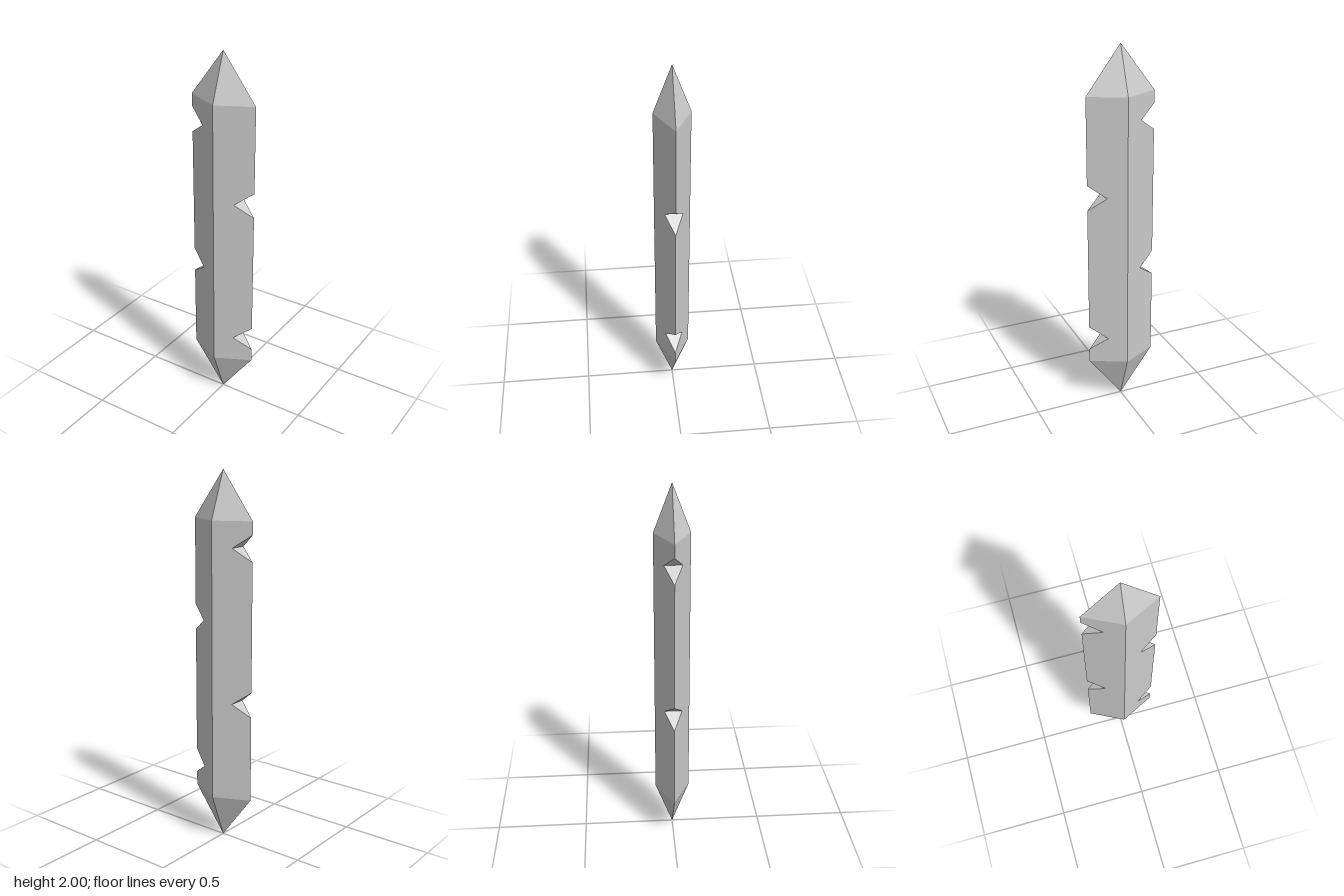
import * as THREE from 'three';

const W = 0.188, D = 0.094;          // half width and half depth of the diamond section
const LOW = 0.252, HIGH = 1.75;      // ends of the straight shaft
const NOTCH_X = 0.094, NOTCH_H = 0.069;
const NOTCHES = { '1': [0.397, 1.219], '-1': [0.791, 1.614] }; // notch heights per edge

const material = new THREE.MeshStandardMaterial({ color: 0xcccccc, flatShading: true });
const depthAt = (x) => D * (1 - Math.abs(x) / W);

function add(group, geometry, name) {
  const mesh = new THREE.Mesh(geometry, material);
  mesh.name = name;
  group.add(mesh);
  return mesh;
}

// One of the four slanted shaft faces, with notches cut from its outer edge
function shaftFace(sx, sz) {
  const outline = [[0, LOW], [W, LOW]];
  for (const y of NOTCHES[sx]) outline.push([W, y - NOTCH_H], [NOTCH_X, y], [W, y + NOTCH_H]);
  outline.push([W, HIGH], [0, HIGH]);
  const geometry = new THREE.ShapeGeometry(new THREE.Shape(outline.map(([x, y]) => new THREE.Vector2(x, y))));
  const p = geometry.attributes.position;
  for (let i = 0; i < p.count; i++) p.setXYZ(i, sx * p.getX(i), p.getY(i), sz * depthAt(p.getX(i)));
  if (sx * sz < 0) geometry.index.array.reverse();
  geometry.computeVertexNormals();
  return geometry;
}

// The upper and lower cut surfaces of one notch
function notchFaces(sx, y) {
  const z = depthAt(NOTCH_X) * sx;
  const a = [sx * NOTCH_X, y, z], b = [sx * NOTCH_X, y, -z];
  const top = [sx * W, y + NOTCH_H, 0], bottom = [sx * W, y - NOTCH_H, 0];
  const geometry = new THREE.BufferGeometry();
  geometry.setAttribute('position', new THREE.Float32BufferAttribute([a, b, top, b, a, bottom].flat(), 3));
  geometry.computeVertexNormals();
  return geometry;
}

export function createModel() {
  const model = new THREE.Group();
  model.name = 'notchedShard';

  for (const sx of [1, -1]) {
    for (const sz of [1, -1]) add(model, shaftFace(sx, sz), 'shaftFace');
    for (const y of NOTCHES[sx]) add(model, notchFaces(sx, y), 'notch');
  }

  // Four-sided points at both ends
  const tipGeometry = (h) => new THREE.ConeGeometry(W, h, 4, 1, true);
  const topTip = add(model, tipGeometry(2 - HIGH).scale(1, 1, D / W), 'topPoint');
  topTip.position.y = (2 + HIGH) / 2;
  const bottomTip = add(model, tipGeometry(LOW).rotateX(Math.PI).scale(1, 1, D / W), 'bottomPoint');
  bottomTip.position.y = LOW / 2;

  return model;
}
